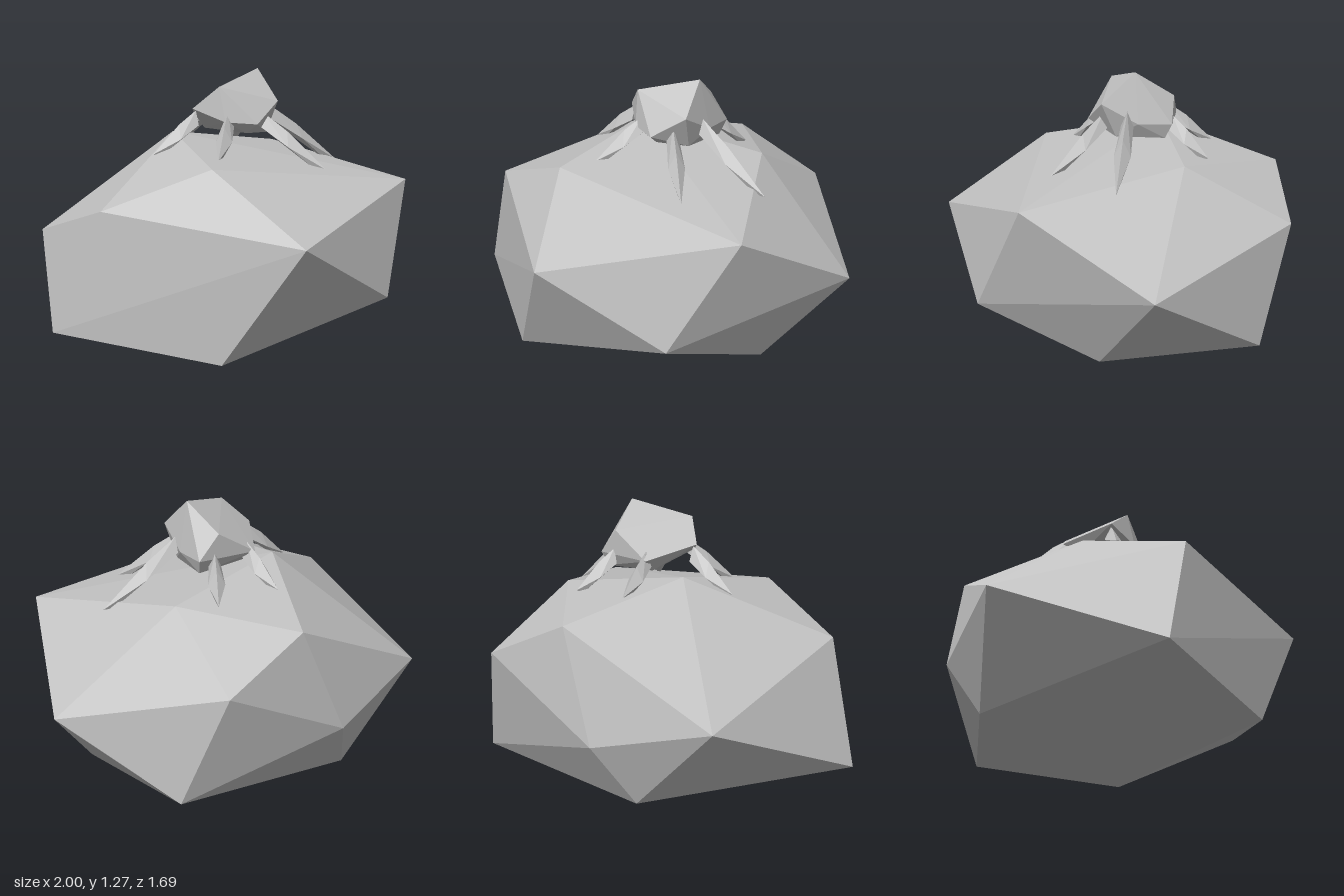
import * as THREE from 'three';
import { ConvexGeometry } from 'three/addons/geometries/ConvexGeometry.js';

const grey = new THREE.MeshStandardMaterial({ color: 0xc0c0c0 });
grey.name = 'stone grey';
grey.flatShading = true;

const vec = (p) => new THREE.Vector3(...p);

// Faceted solid spanned by a few corner points
function facetedSolid(name, points) {
  const mesh = new THREE.Mesh(new ConvexGeometry(points), grey);
  mesh.name = name;
  return mesh;
}

// Tapering ridged leg running from the body (a) down to a pointed tip (b)
function leg(name, a, b) {
  const start = vec(a), tip = vec(b);
  const out = tip.clone().sub(start).setY(0).normalize();
  const side = new THREE.Vector3(-out.z, 0, out.x);
  const at = (t, across, up) =>
    start.clone().lerp(tip, t).addScaledVector(side, across).add(new THREE.Vector3(0, up, 0));
  return facetedSolid(name, [
    at(0, 0, 0.04), at(0, 0.03, -0.03), at(0, -0.03, -0.03),
    at(0.4, 0, 0.04), at(0.45, 0.04, -0.02), at(0.45, -0.04, -0.02),
    at(0.85, 0, -0.04), tip,
  ]);
}

export function createModel() {
  const model = new THREE.Group();
  model.name = 'rockWithCrawler';

  // Large boulder
  model.add(facetedSolid('boulder', [
    // foot
    [-0.44, 0, 0.57], [0.65, 0, 0.13], [0.68, 0.07, -0.61], [-0.25, 0, -0.70], [-1, 0.11, 0],
    // waist
    [-0.17, 0.55, 0.84], [0.43, 0.22, 0.69], [1, 0.40, -0.09], [0.53, 0.61, -0.77],
    [-0.10, 0.29, -0.85], [-0.68, 0.435, -0.74],
    // crown
    [-0.81, 0.68, 0.13], [-0.34, 0.86, 0.34], [0.70, 0.74, 0.49], [0.44, 0.87, -0.28],
    [0.10, 0.81, -0.77], [-0.20, 0.965, -0.23],
  ].map(vec)));

  // Small stone body raised on legs
  const crawler = new THREE.Group();
  crawler.name = 'crawler';
  crawler.add(facetedSolid('body', [
    [0.20, 1.27, -0.07], [-0.09, 1.20, 0.02], [0.165, 1.15, -0.26], [-0.18, 1.09, -0.08],
    [0.21, 1.12, 0.09], [0.05, 1.02, 0.145], [-0.08, 1.03, 0.06], [0.25, 1.03, -0.08],
    [0.265, 1.03, -0.24], [-0.03, 1.03, -0.295],
    [0.04, 0.97, 0.07], [0.19, 0.96, 0.02], [0.24, 0.96, -0.21], [-0.02, 0.97, -0.22],
  ].map(vec)));

  // Six legs spread around the body: start point, tip point
  const legs = [
    ['backRightLeg', [-0.01, 1.03, -0.26], [-0.02, 0.89, -0.47]],
    ['backLeftLeg', [0.18, 1.02, -0.25], [0.29, 0.87, -0.41]],
    ['leftLeg', [0.24, 1.05, -0.03], [0.61, 0.79, 0.05]],
    ['frontLeftLeg', [0.13, 1.03, 0.07], [0.32, 0.80, 0.34]],
    ['frontRightLeg', [-0.05, 1.04, 0.04], [-0.22, 0.87, 0.21]],
    ['rightLeg', [-0.16, 1.04, -0.08], [-0.39, 0.88, -0.10]],
  ];
  for (const [name, a, b] of legs) crawler.add(leg(name, a, b));
  model.add(crawler);

  return model;
}
